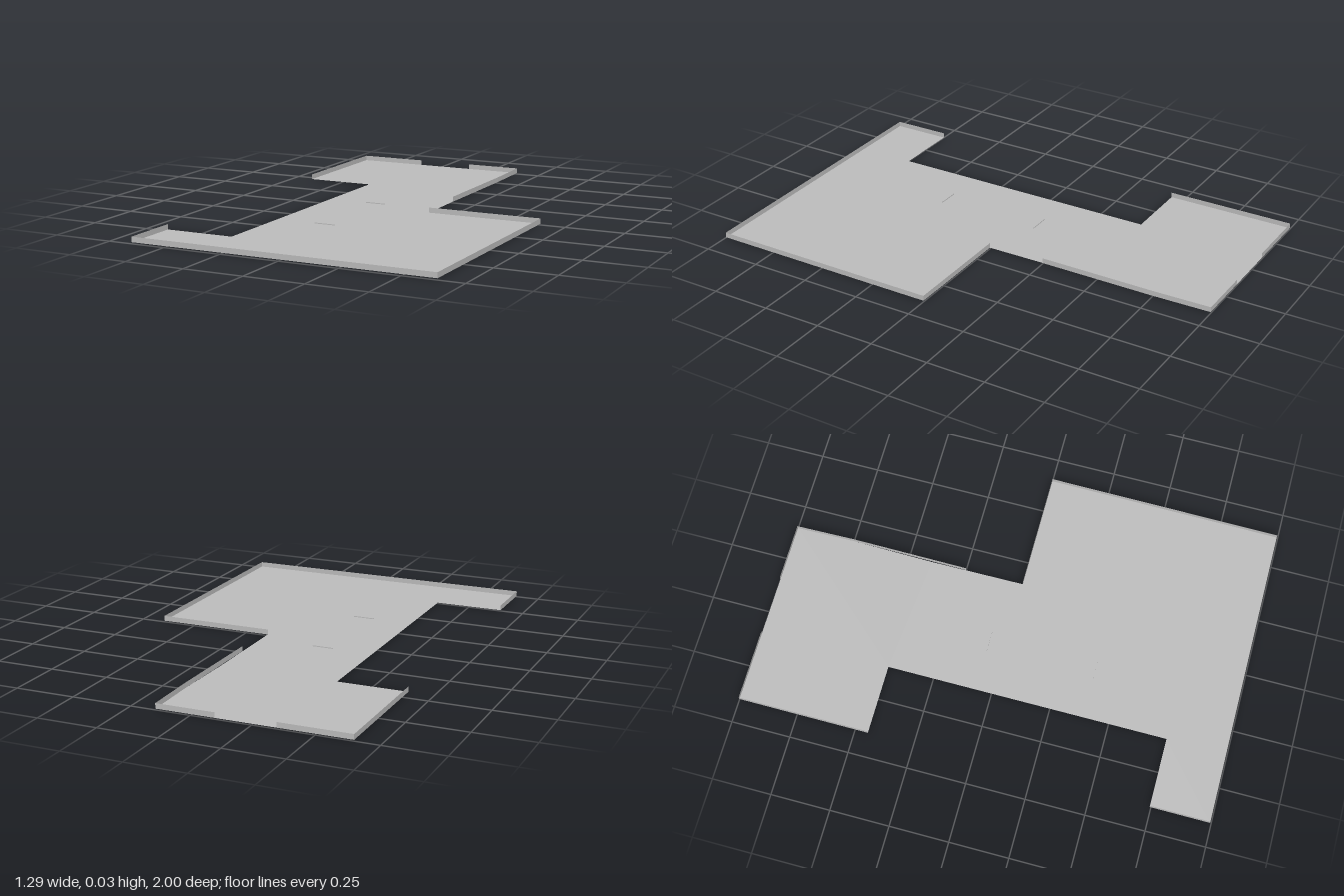
import * as THREE from 'three';

const FLOOR = 0.005, TOP = 0.027;

export function createModel() {
  const model = new THREE.Group();
  model.name = 'floorPlan';
  const grey = new THREE.MeshStandardMaterial({ color: 0xbfbfbf, side: THREE.DoubleSide });
  grey.name = 'plain grey';

  const add = (name, geometry) => {
    const mesh = new THREE.Mesh(geometry, grey);
    mesh.name = name;
    model.add(mesh);
    return mesh;
  };

  // Thin floor sheet, outlined as [x, z]
  const outline = [
    [-0.65, -1], [0.145, -1], [0.15, -0.75], [0.145, -0.4], [0.148, 0], [0.645, 0],
    [0.64, 0.995], [-0.65, 0.995], [-0.65, 0.745], [-0.355, 0.745], [-0.355, -0.445], [-0.65, -0.445],
  ];
  const shape = new THREE.Shape(outline.map(([x, z]) => new THREE.Vector2(x, -z)));
  const floor = add('floor', new THREE.ShapeGeometry(shape).rotateX(-Math.PI / 2));
  floor.position.y = FLOOR;

  // Upright sheet along a straight run from (x1, z1) to (x2, z2)
  const wall = (name, x1, z1, x2, z2) => {
    const length = Math.hypot(x2 - x1, z2 - z1);
    const mesh = add(name, new THREE.PlaneGeometry(length, TOP - FLOOR));
    mesh.position.set((x1 + x2) / 2, (FLOOR + TOP) / 2, (z1 + z2) / 2);
    mesh.rotation.y = -Math.atan2(z2 - z1, x2 - x1);
  };

  // Low walls, with a doorway in the back and open recesses on the right
  wall('frontWall', -0.65, 0.995, 0.64, 0.995);
  wall('leftFrontWall', 0.64, 0.995, 0.645, 0);
  wall('stepWall', 0.645, 0, 0.148, 0);
  wall('leftBackWallNear', 0.147, -0.25, 0.15, -0.75);
  wall('leftBackWallFar', 0.15, -0.75, 0.145, -1);
  wall('backWallLeft', 0.145, -1, -0.1, -1);
  wall('backWallRight', -0.35, -1, -0.65, -1);
  wall('rightBackWall', -0.65, -1, -0.65, -0.445);
  wall('rightFrontWall', -0.65, 0.745, -0.65, 0.995);

  // Two small slivers lying through the floor
  for (const [name, z] of [['backSliver', -0.07], ['frontSliver', 0.39]]) {
    const sliver = add(name, new THREE.BoxGeometry(0.09, 0.009, 0.004));
    sliver.position.set(-0.135, 0.0045, z);
  }
  return model;
}
